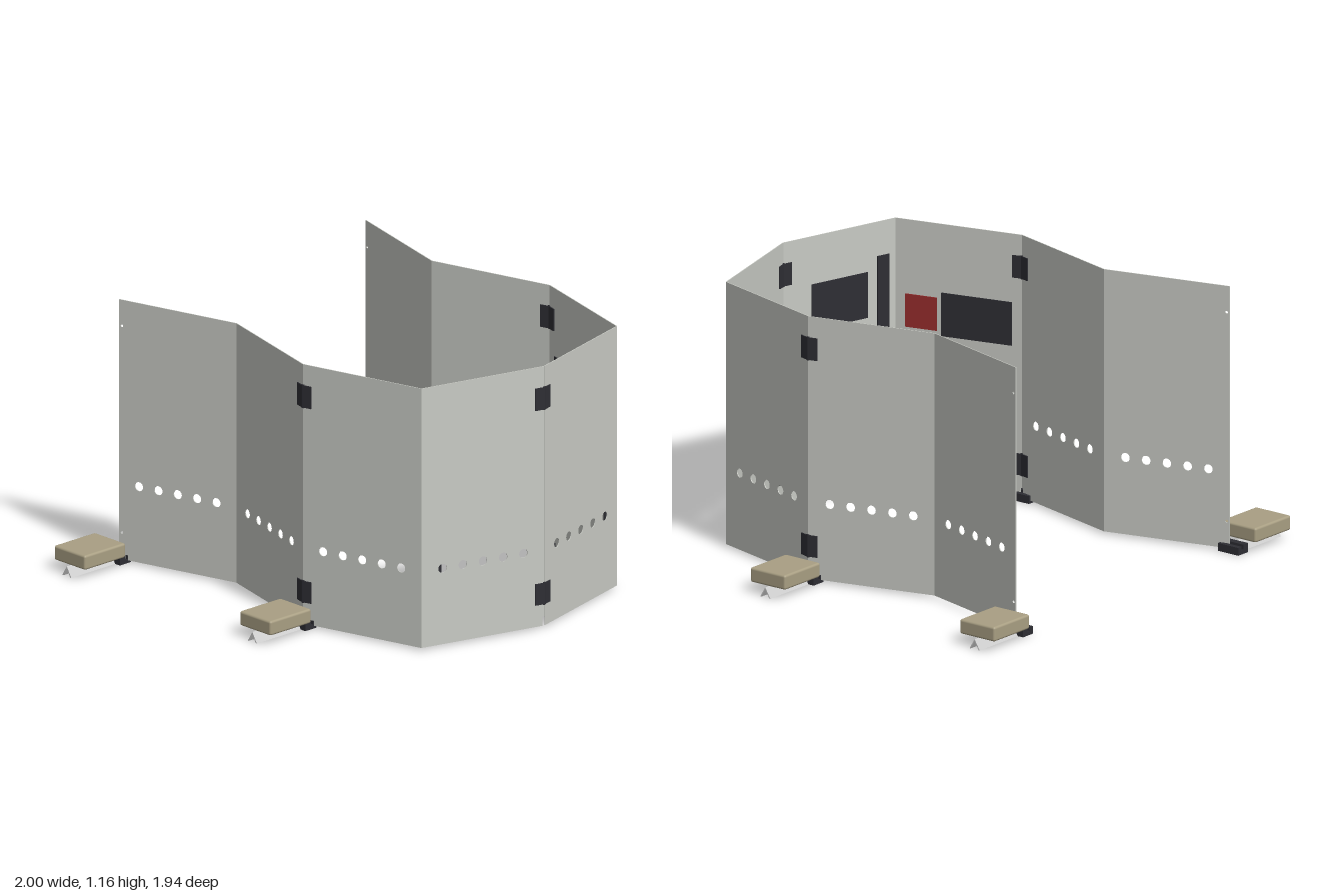
import * as THREE from 'three';
import { RoundedBoxGeometry } from 'three/addons/geometries/RoundedBoxGeometry.js';

const mat = (name, color, side = THREE.FrontSide) => {
  const m = new THREE.MeshStandardMaterial({ color, side });
  m.name = name;
  return m;
};

const BOTTOM = 0.012, TOP = 1.16, THICK = 0.004;

export function createModel() {
  const root = new THREE.Group();
  root.name = 'foldingScreen';
  const panelGrey = mat('panel grey', 0xc8cac4);
  const black = mat('hinge black', 0x2e2e34);
  const red = mat('label red', 0x982c2c);
  const steel = mat('foot steel', 0xcfcfcf, THREE.DoubleSide);
  const tan = mat('weight tan', 0xa99f83);

  const add = (parent, name, geo, material, x = 0, y = 0, z = 0) => {
    const m = new THREE.Mesh(geo, material);
    m.name = name;
    m.position.set(x, y, z);
    parent.add(m);
    return m;
  };
  const box = (parent, name, material, x0, x1, y0, y1, z0, z1) =>
    add(parent, name, new THREE.BoxGeometry(Math.abs(x1 - x0), y1 - y0, Math.abs(z1 - z0)), material,
      (x0 + x1) / 2, (y0 + y1) / 2, (z0 + z1) / 2);

  // Flat sheet with a row of round holes and notches beside the hinges
  function panelGeometry(len, hingeStart, hingeEnd, boltHoles) {
    const n = 0.007, h = 0.04;
    const s = new THREE.Shape();
    if (hingeStart) {
      s.moveTo(0, BOTTOM + h);
      s.lineTo(n, BOTTOM + h);
      s.lineTo(n, BOTTOM);
    } else s.moveTo(0, BOTTOM);
    if (hingeEnd) {
      s.lineTo(len - n, BOTTOM);
      s.lineTo(len - n, BOTTOM + h);
      s.lineTo(len, BOTTOM + h);
    } else s.lineTo(len, BOTTOM);
    s.lineTo(len, TOP);
    s.lineTo(0, TOP);
    s.closePath();
    const hole = (x, y, r) => {
      const p = new THREE.Path();
      p.absarc(x, y, r, 0, Math.PI * 2, true);
      s.holes.push(p);
    };
    for (let i = 0; i < 5; i++) hole(len * (0.17 + 0.165 * i), 0.348, 0.02);
    if (boltHoles) for (const y of [0.13, 1.045]) hole(0.014, y, 0.006);
    const g = new THREE.ExtrudeGeometry(s, { depth: THICK, bevelEnabled: false, curveSegments: 12 });
    return g.translate(0, 0, -THICK / 2);
  }

  // Inverted V bar running outwards under the weight
  function barGeometry(len) {
    const s = new THREE.Shape();
    s.moveTo(-0.027, 0);
    s.lineTo(0, 0.045);
    s.lineTo(0.027, 0);
    s.lineTo(0.021, 0);
    s.lineTo(0, 0.037);
    s.lineTo(-0.021, 0);
    s.closePath();
    return new THREE.ExtrudeGeometry(s, { depth: len, bevelEnabled: false })
      .translate(0, 0, -len / 2).rotateY(Math.PI / 2);
  }

  // Plan of one half, from the rear edge to the front centre
  const plan = [[0.71, -0.862], [0.562, -0.308], [0.71, 0.25], [0.562, 0.81], [0, 0.96]];
  const hinges = [[0.108, 0.202], [0.97, 1.068]];

  for (const side of [1, -1]) {
    const half = new THREE.Group();
    half.name = side > 0 ? 'leftHalf' : 'rightHalf';
    root.add(half);

    for (let i = 0; i < 4; i++) {
      const [ax, az] = plan[i], [bx, bz] = plan[i + 1];
      const dx = side * (bx - ax), dz = bz - az, len = Math.hypot(dx, dz);
      const panel = new THREE.Group();
      panel.name = 'panel' + (i + 1);
      panel.position.set(side * ax, 0, az);
      panel.rotation.y = Math.atan2(-dz, dx);
      half.add(panel);

      const hingeStart = i === 2, hingeEnd = i === 1 || i === 3;
      add(panel, 'sheet', panelGeometry(len, hingeStart, hingeEnd, i === 0), panelGrey);

      // Hinge leaves wrap both faces of the sheet
      for (const [y0, y1] of hinges) {
        if (hingeStart) box(panel, 'hingeLeaf', black, 0, 0.043, y0, y1, -0.007, 0.007);
        if (hingeEnd) box(panel, 'hingeLeaf', black, len - 0.043, len, y0, y1, -0.007, 0.007);
      }

      // Thin labels on the inner face, placed by fractions of the panel width
      const label = (name, material, u0, u1, y0, y1) =>
        box(panel, name, material, u0 * len, u1 * len, y0, y1, side * THICK / 2, side * (THICK / 2 + 0.004));
      if (i === 2) {
        label('darkLabel', black, 0.08, 0.635, 0.67, 0.86);
        label('redLabel', red, 0.67, 0.92, 0.69, 0.835);
      }
      if (i === 3) {
        label('tallStrip', black, 0.06, 0.165, 0.15, 1.01);
        if (side < 0) label('frontLabel', black, 0.25, 0.75, 0.75, 0.95);
      }
    }

    // Weighted feet at the side hinge and the rear edge
    for (const z of [0.247, -0.875]) {
      const foot = new THREE.Group();
      foot.name = z > 0 ? 'middleFoot' : 'rearFoot';
      foot.position.z = z;
      half.add(foot);
      box(foot, 'clampBase', black, side * 0.682, side * 0.747, 0, 0.018, -0.055, 0.055);
      box(foot, 'clampInnerJaw', black, side * 0.682, side * 0.704, 0.018, 0.034, -0.055, 0.055);
      box(foot, 'clampOuterJaw', black, side * 0.716, side * 0.747, 0.018, 0.04, -0.055, 0.055);
      add(foot, 'footBar', barGeometry(0.255), steel, side * 0.8725, 0, 0);
      add(foot, 'weight', new RoundedBoxGeometry(0.236, 0.064, 0.188, 2, 0.01), tan, side * 0.867, 0.078, 0);
    }
  }

  // Hinge pins
  for (const [x, z] of [[0.71, 0.25], [-0.71, 0.25], [0, 0.96]])
    for (const [y0, y1] of hinges)
      add(root, 'hingePin', new THREE.CylinderGeometry(0.007, 0.007, y1 - y0 + 0.006, 10), black, x, (y0 + y1) / 2, z);

  return root;
}
